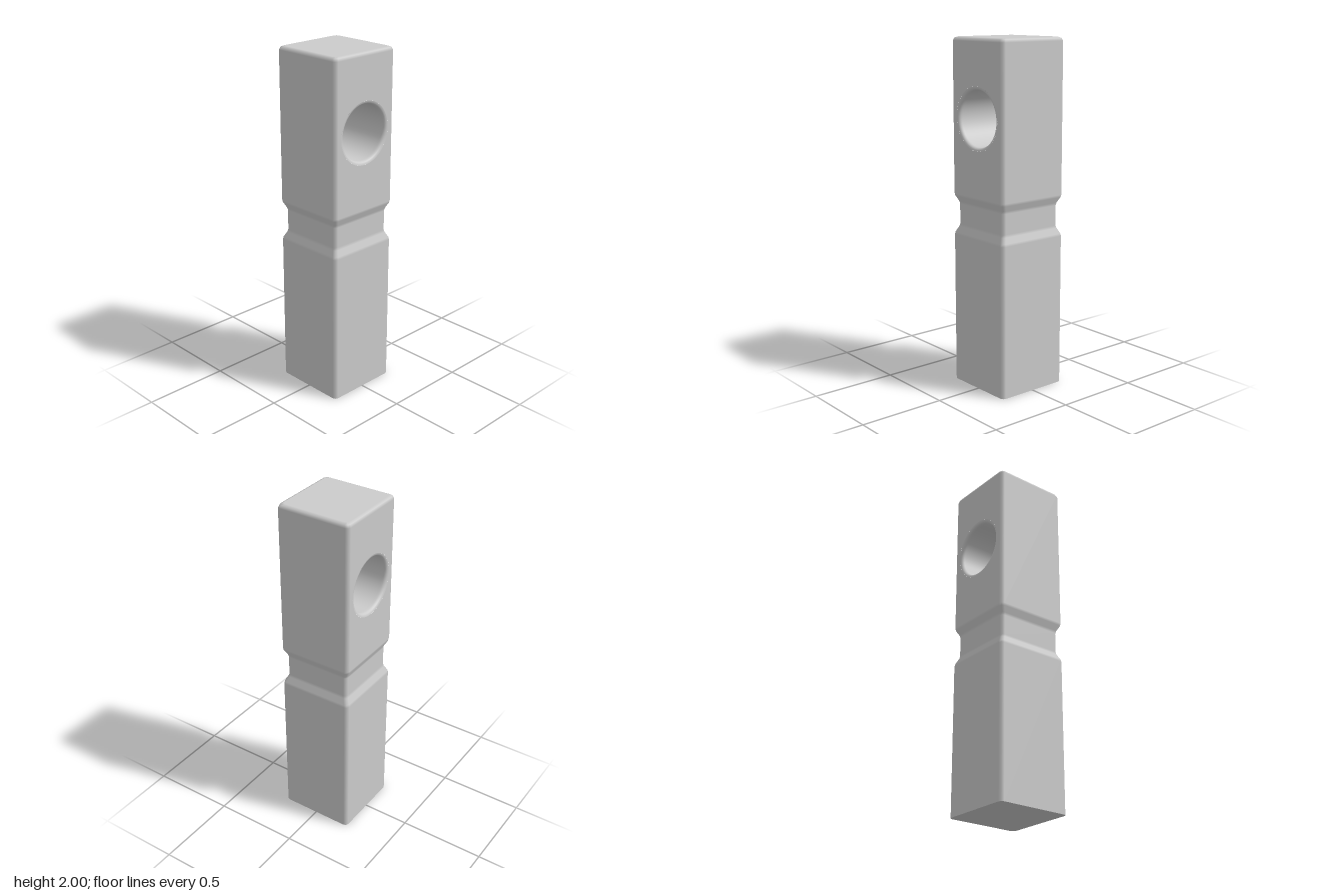
import * as THREE from 'three';

const HALF = 0.222, CORE = 0.2, R = 0.022;      // post half width, corner centre, corner radius
const HOLE_Y = 1.56, HOLE_R = 0.158, RIM = 0.02; // cross hole and its rounded rim
const PANEL_LOW = 1.12, PANEL_HIGH = 1.978;      // extent of the pierced side faces

// Rounded-square section: position and outward direction of each point
function section() {
  const points = [];
  for (let k = 0; k < 4; k++) {
    const d = (k + 0.5) * Math.PI / 2;
    for (let j = 0; j < 3; j++) {
      const a = (k + j / 2) * Math.PI / 2;
      const nx = Math.cos(a), nz = Math.sin(a);
      points.push({
        x: Math.sign(Math.cos(d)) * CORE + R * nx,
        z: Math.sign(Math.sin(d)) * CORE + R * nz, nx, nz,
      });
    }
  }
  return points;
}

// Post outline as [height, half width, normal tilt]: grooved waist, rounded top
const rows = [
  [0, HALF, 0], [0.88, HALF, 0], [0.895, 0.219, 0.36], [0.926, 0.203, 0.36], [0.942, 0.199, 0],
  [1.058, 0.199, 0], [1.074, 0.203, -0.36], [1.105, 0.219, -0.36], [PANEL_LOW, HALF, 0],
  [PANEL_HIGH, HALF, 0], [1.9935, 0.2155, Math.PI / 4], [2, 0.2, Math.PI / 2],
];

function postGeometry() {
  const ring = section(), n = ring.length;
  const position = [], normal = [], index = [];
  for (const [y, half, tilt] of rows) {
    const s = half / HALF, c = Math.cos(tilt);
    for (const p of ring) {
      position.push(p.x * s, y, p.z * s);
      normal.push(p.nx * c, Math.sin(tilt), p.nz * c);
    }
  }
  for (let r = 0; r < rows.length - 1; r++) {
    for (let i = 0; i < n; i++) {
      // leave the two side faces open for the pierced panels
      if (rows[r][0] === PANEL_LOW && (i === 5 || i === 11)) continue;
      const a = r * n + i, b = r * n + (i + 1) % n;
      index.push(a, a + n, b, b, a + n, b + n);
    }
  }
  // flat end caps
  for (const [row, up] of [[rows[0], -1], [rows[rows.length - 1], 1]]) {
    const start = position.length / 3, s = row[1] / HALF;
    for (const p of ring) {
      position.push(p.x * s, row[0], p.z * s);
      normal.push(0, up, 0);
    }
    for (let i = 1; i < n - 1; i++) {
      if (up > 0) index.push(start, start + i + 1, start + i);
      else index.push(start, start + i, start + i + 1);
    }
  }
  const g = new THREE.BufferGeometry();
  g.setAttribute('position', new THREE.Float32BufferAttribute(position, 3));
  g.setAttribute('normal', new THREE.Float32BufferAttribute(normal, 3));
  g.setIndex(index);
  return g;
}

// Flat side face with a round opening
function panelGeometry(side) {
  const shape = new THREE.Shape();
  shape.moveTo(-CORE, PANEL_LOW).lineTo(CORE, PANEL_LOW);
  shape.lineTo(CORE, PANEL_HIGH).lineTo(-CORE, PANEL_HIGH).closePath();
  const hole = new THREE.Path();
  hole.absarc(0, HOLE_Y, HOLE_R + RIM, 0, Math.PI * 2, true);
  shape.holes.push(hole);
  return new THREE.ShapeGeometry(shape, 48).rotateY(side * Math.PI / 2).translate(side * HALF, 0, 0);
}

// Inner wall of the hole, rounded out at both rims
function boreGeometry() {
  const profile = [];
  for (let j = 0; j <= 4; j++) {
    const a = j / 4 * Math.PI / 2;
    profile.push(new THREE.Vector2(HOLE_R + RIM * (1 - Math.sin(a)), HALF - RIM * (1 - Math.cos(a))));
  }
  profile.push(new THREE.Vector2(HOLE_R, HALF - RIM - 0.01));
  for (const p of [...profile].reverse()) profile.push(new THREE.Vector2(p.x, -p.y));
  return new THREE.LatheGeometry(profile, 48).rotateZ(Math.PI / 2).translate(0, HOLE_Y, 0);
}

export function createModel() {
  const model = new THREE.Group();
  model.name = 'piercedPost';
  const material = new THREE.MeshStandardMaterial({ color: 0xcccccc });
  const add = (name, geometry) => {
    const mesh = new THREE.Mesh(geometry, material);
    mesh.name = name;
    model.add(mesh);
  };
  add('post', postGeometry());
  add('leftPanel', panelGeometry(1));
  add('rightPanel', panelGeometry(-1));
  add('holeWall', boreGeometry());
  return model;
}
